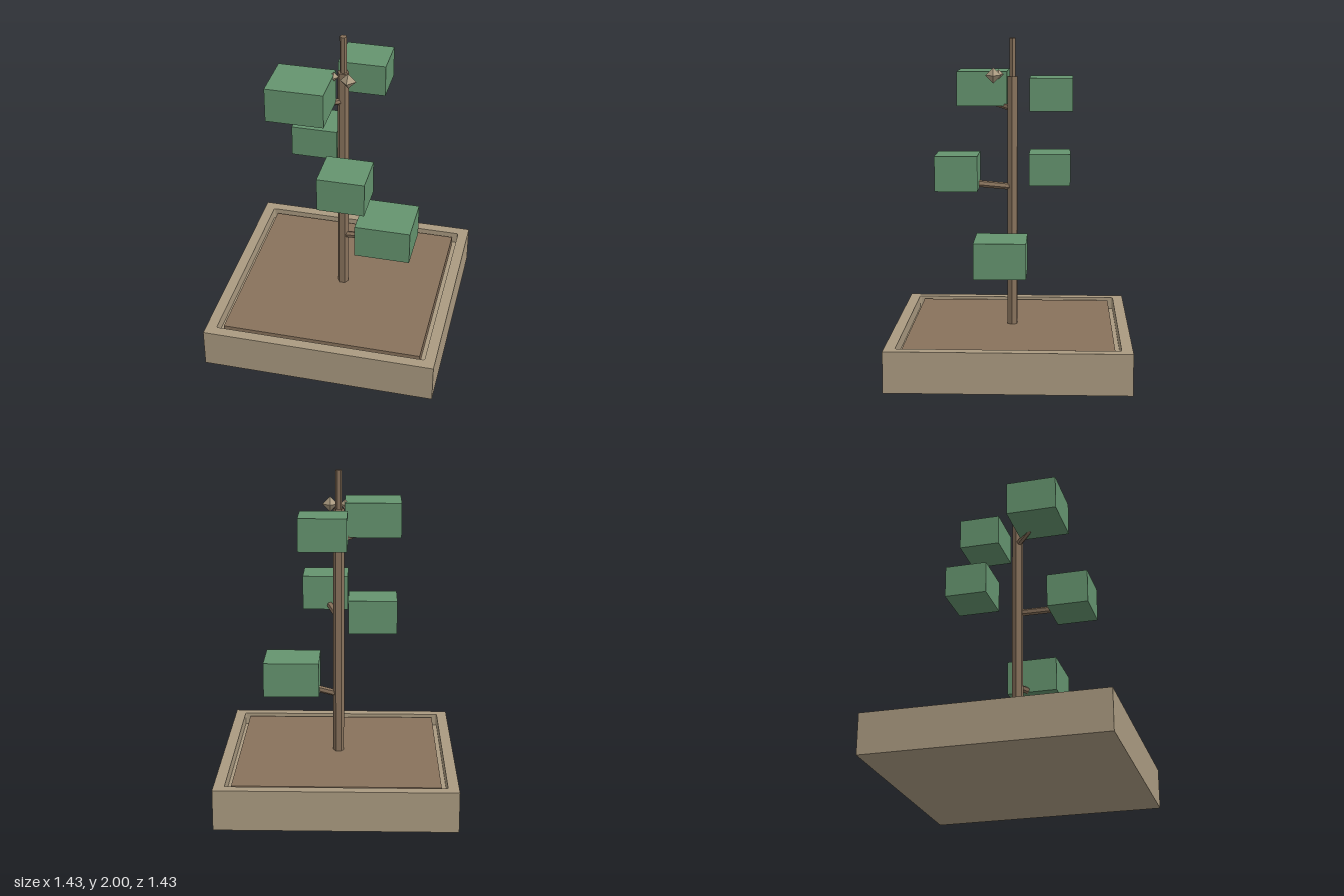
import * as THREE from 'three';

const mat = (name, color) => {
  const m = new THREE.MeshStandardMaterial({ color, flatShading: true });
  m.name = name;
  return m;
};

export function createModel() {
  const group = new THREE.Group();
  const paleClay = mat('paleClay', 0xab9b81);
  const bark = mat('bark', 0x88725c);
  const leafGreen = mat('leafGreen', 0x65946f);

  const add = (name, geometry, material, x = 0, y = 0, z = 0) => {
    const mesh = new THREE.Mesh(geometry, material);
    mesh.name = name;
    mesh.position.set(x, y, z);
    group.add(mesh);
    return mesh;
  };

  // box given by its lower and upper corners
  const addBox = (name, material, [x0, y0, z0], [x1, y1, z1]) =>
    add(name, new THREE.BoxGeometry(x1 - x0, y1 - y0, z1 - z0), material,
      (x0 + x1) / 2, (y0 + y1) / 2, (z0 + z1) / 2);

  // planter wall: square frame with a cavity whose corners are slightly rounded
  const square = (path, h, r) => {
    path.moveTo(-h + r, -h);
    for (const [cx, cy, a] of [[1, -1, -0.5], [1, 1, 0], [-1, 1, 0.5], [-1, -1, 1]]) {
      if (r) path.absarc(cx * (h - r), cy * (h - r), r, a * Math.PI, (a + 0.5) * Math.PI, false);
      else path.lineTo(cx * h, cy * h);
    }
    path.closePath();
    return path;
  };
  const frame = square(new THREE.Shape(), 0.715, 0);
  frame.holes.push(square(new THREE.Path(), 0.65, 0.012));
  const wall = new THREE.ExtrudeGeometry(frame, { depth: 0.245, bevelEnabled: false, curveSegments: 3 });
  wall.rotateX(-Math.PI / 2);
  add('planterWall', wall, paleClay);
  addBox('planterFloor', paleClay, [-0.65, 0, -0.65], [0.65, 0.17, 0.65]);

  // soil block, separated from the wall by a narrow groove
  addBox('soil', bark, [-0.615, 0.17, -0.615], [0.615, 0.235, 0.615]);

  // hexagonal rod between two points
  const addRod = (name, from, to, radius) => {
    const a = new THREE.Vector3(...from);
    const b = new THREE.Vector3(...to);
    const dir = b.clone().sub(a);
    const geometry = new THREE.CylinderGeometry(radius, radius, dir.length(), 6);
    geometry.rotateY(Math.PI / 6);
    const rod = add(name, geometry, bark);
    rod.position.copy(a).add(b).multiplyScalar(0.5);
    rod.quaternion.setFromUnitVectors(new THREE.Vector3(0, 1, 0), dir.normalize());
  };
  addRod('trunk', [0, 0.22, 0], [0, 1.77, 0], 0.035);
  addRod('trunkTip', [0, 1.76, 0], [0, 2, 0], 0.021);
  addRod('lowerBranch', [0, 0.605, 0], [0.19, 0.64, 0.035], 0.021);
  addRod('middleBranch', [0, 1.095, 0], [0.058, 1.122, 0.205], 0.021);
  addRod('upperBranch', [0, 1.575, 0], [-0.125, 1.6, 0.115], 0.019);

  // leaf blocks
  [
    [[0.12, 0.612, -0.097], [0.462, 0.825, 0.212]],
    [[-0.053, 1.095, 0.2], [0.23, 1.307, 0.456]],
    [[-0.35, 1.09, -0.355], [-0.065, 1.287, -0.1]],
    [[-0.38, 1.585, 0.034], [-0.036, 1.796, 0.342]],
    [[-0.057, 1.577, -0.365], [0.23, 1.772, -0.11]],
  ].forEach(([lo, hi], i) => addBox(`leafBlock${i + 1}`, leafGreen, lo, hi));

  // faceted buds near the top
  add('largeBud', new THREE.OctahedronGeometry(0.048), paleClay, 0.055, 1.777, 0.113);
  add('smallBud', new THREE.OctahedronGeometry(0.03), paleClay, -0.036, 1.78, 0.085);

  return group;
}
